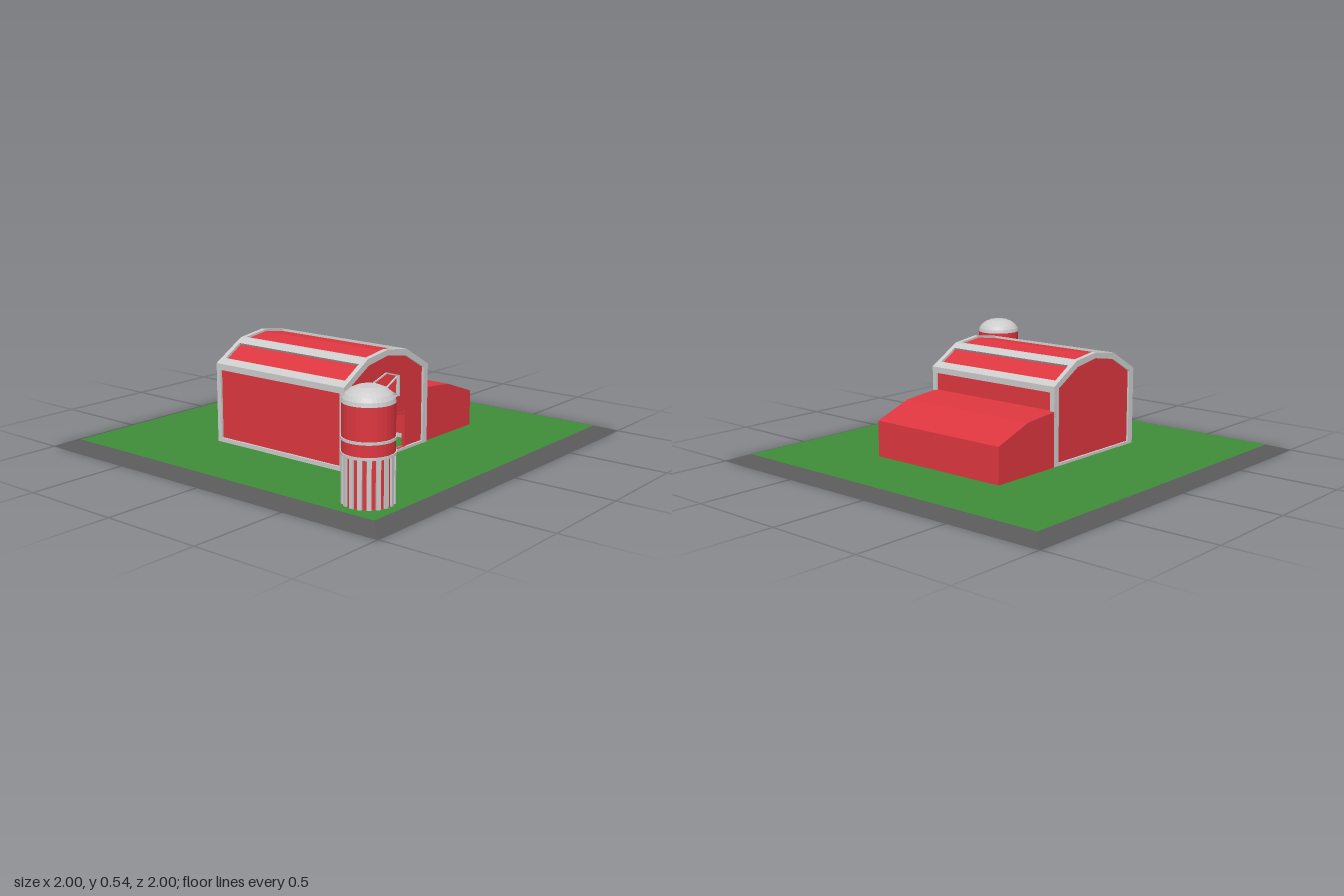
import * as THREE from 'three';

const paint = (color) => new THREE.MeshStandardMaterial({ color, flatShading: true, side: THREE.DoubleSide });
const RED = paint(0xdd363f), GREY = paint(0xcccccc), GREEN = paint(0x3f8c38), DARK = paint(0x595959);
const MID = 0.183; // z of the barn ridge

function add(parent, name, geometry, material) {
  const mesh = new THREE.Mesh(geometry, material);
  mesh.name = name;
  parent.add(mesh);
  return mesh;
}

// Outline given as [z, y] points, extruded along x from x0 to x1
const toPoints = (pts) => pts.map(([z, y]) => new THREE.Vector2(-z, y));
function prism(pts, x0, x1, holes = []) {
  const shape = new THREE.Shape(toPoints(pts));
  holes.forEach((h) => shape.holes.push(new THREE.Path(toPoints(h))));
  const g = new THREE.ExtrudeGeometry(shape, { depth: x1 - x0, bevelEnabled: false });
  return g.rotateY(Math.PI / 2).translate(x0, 0, 0);
}

const flip = (pts) => pts.map(([z, y]) => [2 * MID - z, y]);

// Barn cross-section from half width, base, eave, break and ridge
function arch(half, base, eave, breakHalf, breakY, ridge) {
  const side = [[MID + half, base], [MID + half, eave], [MID + breakHalf, breakY]];
  return [...side, [MID, ridge], ...flip(side).reverse()];
}

// Five-sided opening with a peaked top
const peaked = (half, bottom, side, top) => [
  [MID + half, bottom], [MID + half, side], [MID, top], [MID - half, side], [MID - half, bottom],
];

function buildBarn() {
  const barn = new THREE.Group();
  barn.name = 'barn';
  const outer = arch(0.317, 0.03, 0.42, 0.147, 0.52, 0.54);
  const skin = arch(0.306, 0.03, 0.412, 0.143, 0.51, 0.53);
  const lining = arch(0.296, 0.03, 0.406, 0.139, 0.5, 0.52);
  const inner = arch(0.282, 0.045, 0.408, 0.14, 0.489, 0.512);
  const door = peaked(0.15, 0.045, 0.215, 0.232);
  const windowHole = peaked(0.1, 0.302, 0.402, 0.432);

  // Hollow shell and gable walls
  add(barn, 'wallsAndRoof', prism([...skin, ...lining.slice().reverse()], -0.36, 0.41), RED);
  add(barn, 'leftGable', prism(skin, 0.4, 0.41, [door, windowHole]), RED);
  add(barn, 'rightGable', prism(skin, -0.36, -0.35), RED);

  // Trim around both ends
  add(barn, 'leftGableTrim', prism(outer, 0.395, 0.42, [inner]), GREY);
  add(barn, 'rightGableTrim', prism(outer, -0.37, -0.345, [inner]), GREY);

  // Trim running along the barn, mirrored across the ridge
  const trims = {
    baseTrim: [[0.5, 0.03], [0.5, 0.052], [0.475, 0.052], [0.475, 0.03]],
    eaveTrim: [[0.5, 0.39], [0.5, 0.42], [0.463, 0.442], [0.455, 0.428], [0.475, 0.39]],
    roofTrim: [[0.365, 0.4995], [0.33, 0.52], [0.315, 0.522], [0.313, 0.505], [0.355, 0.485]],
  };
  for (const [name, pts] of Object.entries(trims)) {
    add(barn, name + 'Front', prism(pts, -0.346, 0.396), GREY);
    add(barn, name + 'Back', prism(flip(pts), -0.346, 0.396), GREY);
  }

  // Door frame and window with crossed bars
  add(barn, 'doorFrame', prism(door, 0.4, 0.416, [peaked(0.141, 0.046, 0.206, 0.222)]), RED);
  add(barn, 'windowFrame', prism(windowHole, 0.4, 0.416, [peaked(0.093, 0.309, 0.397, 0.425)]), GREY);
  for (const s of [-1, 1]) {
    const bar = add(barn, 'windowBar', new THREE.BoxGeometry(0.008, 0.005, 0.212), GREY);
    bar.position.set(0.408, 0.353, MID);
    bar.rotation.x = s * Math.atan2(0.095, 0.19);
  }
  return barn;
}

function buildSilo() {
  const silo = new THREE.Group();
  silo.name = 'silo';
  const tube = (name, r, y0, y1, mat) => {
    add(silo, name, new THREE.CylinderGeometry(r, r, y1 - y0, 32), mat).position.y = (y0 + y1) / 2;
  };
  tube('lowerCore', 0.107, 0.03, 0.25, RED);
  tube('upperWall', 0.113, 0.25, 0.466, RED);
  tube('lowerBand', 0.118, 0.243, 0.255, GREY);
  tube('upperBand', 0.118, 0.308, 0.32, GREY);

  // Upright staves around the lower half
  const staves = 18;
  for (let i = 0; i < staves; i++) {
    const a = (i / staves) * Math.PI * 2;
    const stave = add(silo, 'stave', new THREE.BoxGeometry(0.02, 0.215, 0.014), GREY);
    stave.position.set(Math.sin(a) * 0.108, 0.1375, Math.cos(a) * 0.108);
    stave.rotation.y = a;
  }

  // Flat-topped dome
  const dome = [[0.114, 0.463], [0.11, 0.481], [0.098, 0.499], [0.077, 0.516], [0.048, 0.528], [0, 0.529]];
  add(silo, 'dome', new THREE.LatheGeometry(dome.map(([r, y]) => new THREE.Vector2(r, y)), 32), GREY);
  silo.position.set(0.75, 0, 0.745);
  return silo;
}

export function createModel() {
  const model = new THREE.Group();
  model.name = 'farm';

  // Sloped-edge base with grass on top
  const base = new THREE.CylinderGeometry(0.91 * Math.SQRT2, Math.SQRT2, 0.03, 4).rotateY(Math.PI / 4);
  add(model, 'base', base.translate(0, 0.015, 0), DARK);
  const grass = new THREE.PlaneGeometry(1.82, 1.82).rotateX(-Math.PI / 2);
  add(model, 'grass', grass.translate(0, 0.0315, 0), GREEN);

  // Low shed behind the barn
  const shed = [[-0.12, 0.03], [-0.12, 0.302], [-0.325, 0.283], [-0.527, 0.21], [-0.527, 0.03]];
  add(model, 'shed', prism(shed, -0.37, 0.408), RED);

  model.add(buildBarn(), buildSilo());
  return model;
}
